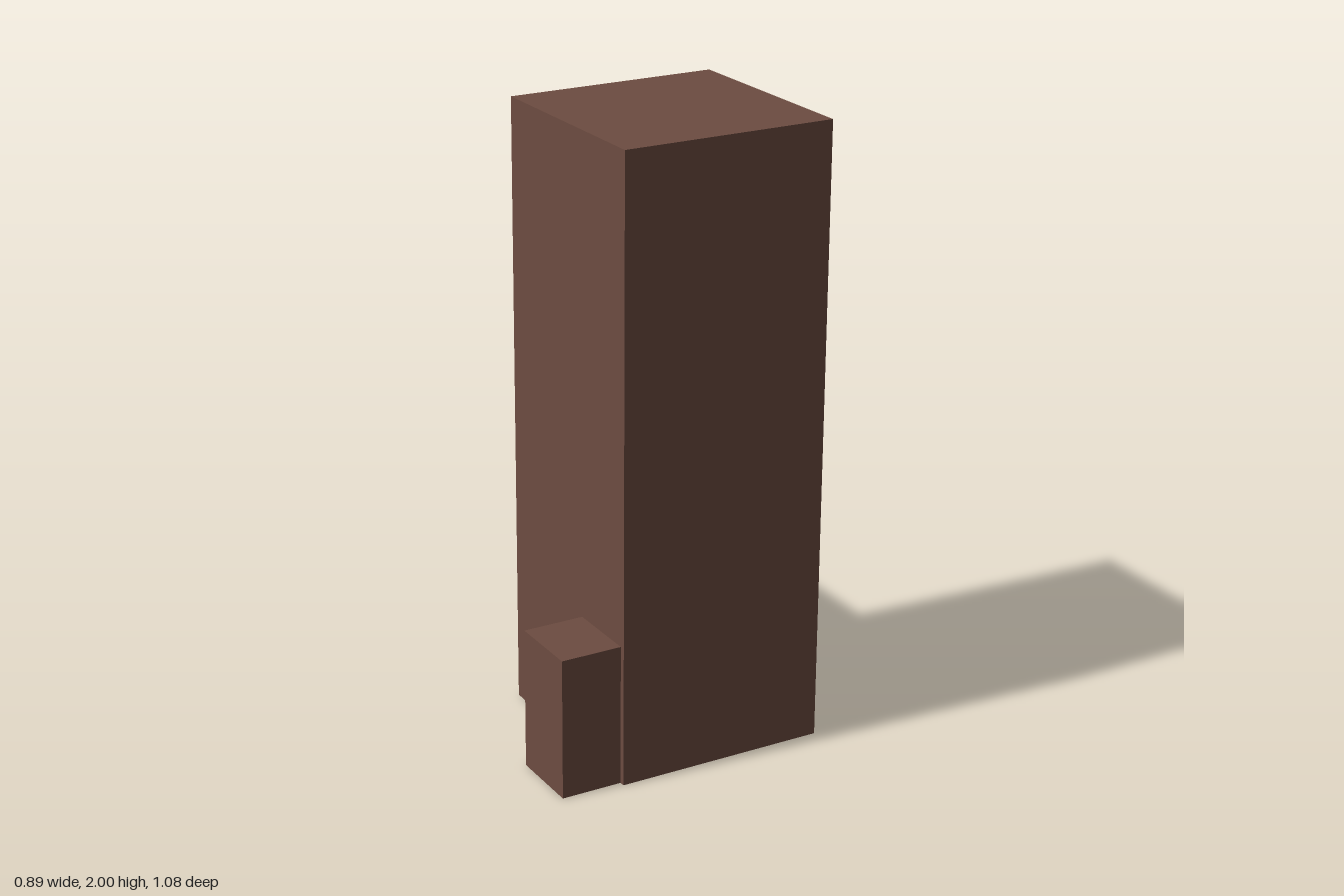
import * as THREE from 'three';

const brown = new THREE.MeshStandardMaterial({ color: 0x6d4c41 });
brown.name = 'brown';

// Box standing on the ground, given by its x and z extents and height
function block(name, x0, x1, z0, z1, height) {
  const mesh = new THREE.Mesh(new THREE.BoxGeometry(x1 - x0, height, z1 - z0), brown);
  mesh.name = name;
  mesh.position.set((x0 + x1) / 2, height / 2, (z0 + z1) / 2);
  return mesh;
}

export function createModel() {
  const model = new THREE.Group();
  model.name = 'blockTower';
  model.add(
    block('mainTower', -0.247, 0.447, -0.155, 0.538, 2),
    block('backBlock', -0.017, 0.391, -0.538, -0.155, 0.81),
    block('sideBlock', -0.447, -0.247, 0.279, 0.52, 0.46)
  );
  return model;
}
